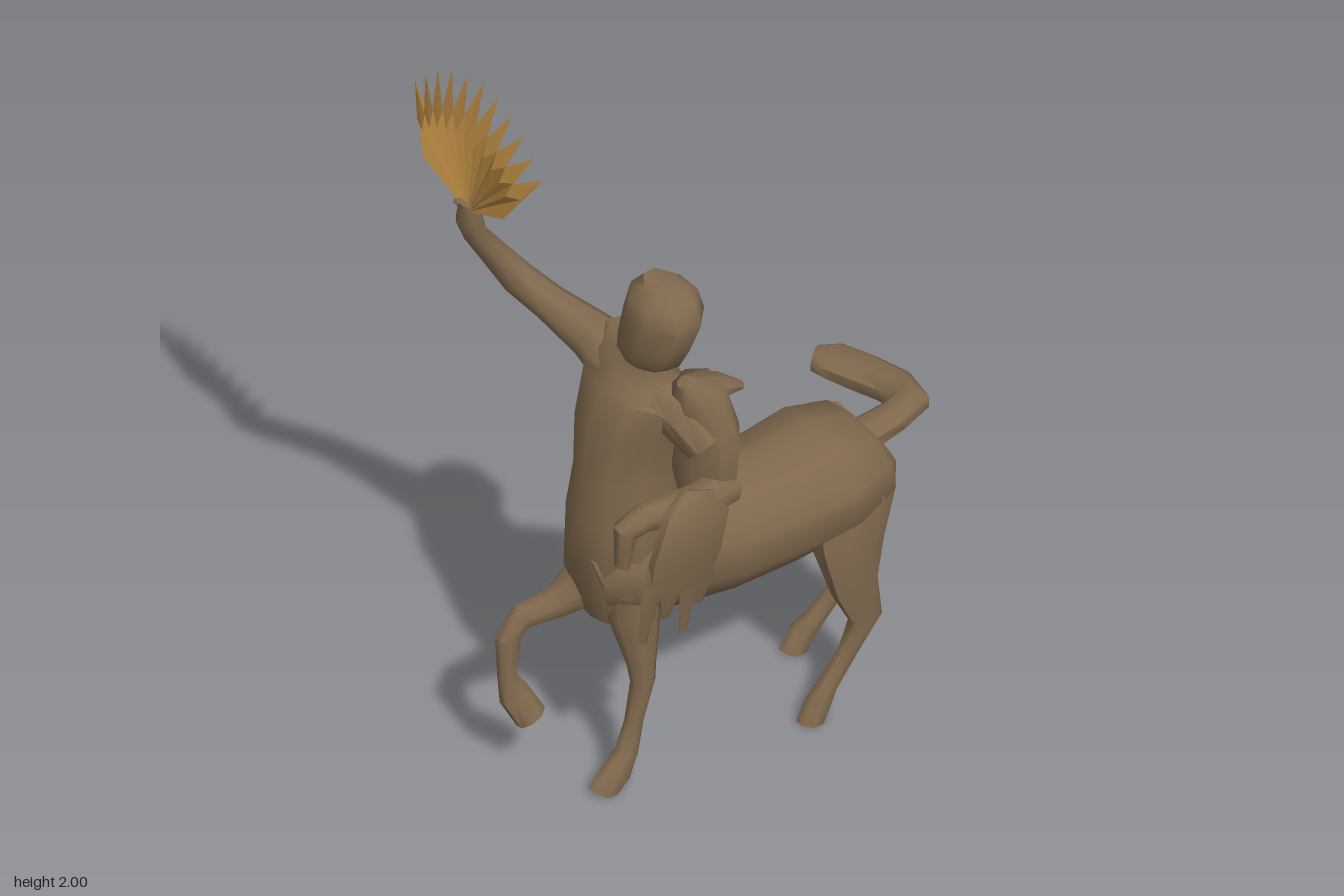
import * as THREE from 'three';
import { toCreasedNormals } from 'three/addons/utils/BufferGeometryUtils.js';

const X = new THREE.Vector3(1, 0, 0), Y = new THREE.Vector3(0, 1, 0), Z = new THREE.Vector3(0, 0, 1);

// Closed loft through rows of [x, y, z, a, b]; radius a runs along ref, b across it
function loft(rows, ref = X, n = 8) {
  const pts = rows.map(r => new THREE.Vector3(r[0], r[1], r[2]));
  const pos = [], idx = [], last = rows.length - 1;
  const put = p => pos.push(p.x, Math.max(0, p.y), p.z);
  rows.forEach(([, , , a, b = a], i) => {
    const t = pts[Math.min(i + 1, last)].clone().sub(pts[Math.max(i - 1, 0)]).normalize();
    const side = ref.clone().addScaledVector(t, -ref.dot(t)).normalize();
    const up = t.clone().cross(side);
    for (let j = 0; j < n; j++) {
      const w = (j + 0.5) / n * Math.PI * 2;
      put(pts[i].clone().addScaledVector(side, a * Math.cos(w)).addScaledVector(up, b * Math.sin(w)));
    }
  });
  for (let i = 0; i < last; i++) for (let j = 0; j < n; j++) {
    const k = (j + 1) % n, p = i * n, q = p + n;
    idx.push(p + j, p + k, q + k, p + j, q + k, q + j);
  }
  put(pts[0]);
  put(pts[last]);
  const c = rows.length * n;
  for (let j = 0; j < n; j++) {
    const k = (j + 1) % n;
    idx.push(c, k, j, c + 1, last * n + j, last * n + k);
  }
  const g = new THREE.BufferGeometry();
  g.setAttribute('position', new THREE.Float32BufferAttribute(pos, 3));
  g.setIndex(idx);
  return toCreasedNormals(g, 0.95);
}

// Feather fan: pointed pleats spread around the grip, bowed in depth
function fanGeometry() {
  const pos = [], count = 11, step = 0.165;
  const at = (ang, r, lift = 0) => [
    -0.23 + Math.sin(ang) * r, 1.6 + Math.cos(ang) * r,
    0.51 + 0.3 * r - 1.07 * r * r + lift];
  const tri = (...v) => v.forEach(p => pos.push(...p));
  for (let i = 0; i < count; i++) {
    const a = (i - (count - 1) / 2) * step, h = step / 2;
    const rTip = 0.4 - 0.04 * Math.abs(a), rSide = 0.3 - 0.03 * Math.abs(a);
    const base = at(a, 0.01), tip = at(a, rTip), mid = at(a, 0.24, 0.004);
    const l = at(a - h, rSide, -0.002), r = at(a + h, rSide, -0.002);
    tri(base, mid, l); tri(l, mid, tip);
    tri(base, r, mid); tri(r, tip, mid);
  }
  // Short outer edge on each side
  for (const s of [-1, 1]) {
    const grip = at(s, 0.02), corner = at(1.1 * s, 0.19), tip = at(5 * step * s, 0.37);
    if (s > 0) tri(grip, corner, tip); else tri(grip, tip, corner);
  }
  const g = new THREE.BufferGeometry();
  g.setAttribute('position', new THREE.Float32BufferAttribute(pos, 3));
  g.computeVertexNormals();
  return g;
}

export function createModel() {
  const model = new THREE.Group();
  model.name = 'centaurStatue';
  const bronze = new THREE.MeshStandardMaterial({ color: 0x7f684d });
  bronze.name = 'bronze brown';
  const gold = new THREE.MeshStandardMaterial({ color: 0xb38440, side: THREE.DoubleSide });
  gold.name = 'fan gold';
  const add = (name, geo, mat = bronze) => {
    const m = new THREE.Mesh(geo, mat);
    m.name = name;
    model.add(m);
  };

  // Horse body and human torso
  add('horseBody', loft([
    [0.23, 0.7, -0.44, 0.11, 0.08], [0.23, 0.68, -0.4, 0.165, 0.135],
    [0.23, 0.67, -0.27, 0.205, 0.17], [0.22, 0.645, -0.12, 0.19, 0.175],
    [0.21, 0.635, 0.05, 0.18, 0.175], [0.19, 0.645, 0.2, 0.165, 0.185],
    [0.17, 0.62, 0.33, 0.15, 0.16], [0.155, 0.6, 0.41, 0.09, 0.11]], X, 10));
  add('torso', loft([
    [0.155, 0.46, 0.36, 0.08, 0.05], [0.15, 0.58, 0.34, 0.145, 0.11],
    [0.16, 0.78, 0.3, 0.145, 0.16], [0.155, 0.92, 0.285, 0.13, 0.15],
    [0.155, 1.06, 0.28, 0.15, 0.14], [0.155, 1.17, 0.26, 0.18, 0.115],
    [0.165, 1.23, 0.245, 0.15, 0.085], [0.2, 1.27, 0.24, 0.065, 0.065],
    [0.21, 1.34, 0.235, 0.055, 0.055]], X, 10));
  add('head', loft([
    [0.2, 1.25, 0.265, 0.06, 0.05], [0.195, 1.29, 0.25, 0.1, 0.085],
    [0.21, 1.36, 0.235, 0.11, 0.095], [0.23, 1.43, 0.225, 0.112, 0.105],
    [0.225, 1.475, 0.225, 0.1, 0.09], [0.23, 1.505, 0.225, 0.07, 0.05]]));

  // Raised right arm and the fan in its hand
  add('raisedArm', loft([
    [0.12, 1.18, 0.26, 0.09, 0.08], [0.0, 1.23, 0.28, 0.07, 0.062],
    [-0.13, 1.275, 0.32, 0.052, 0.045], [-0.215, 1.325, 0.36, 0.045, 0.052],
    [-0.235, 1.42, 0.42, 0.038, 0.04], [-0.24, 1.51, 0.48, 0.032, 0.03],
    [-0.24, 1.57, 0.5, 0.035, 0.04], [-0.235, 1.63, 0.51, 0.02, 0.025]], Z));
  add('thumb', loft([[-0.24, 1.59, 0.5, 0.012], [-0.255, 1.635, 0.535, 0.006]], Z, 5));
  add('fan', fanGeometry(), gold);

  // Left shoulder, draped pelt and forearm
  add('leftShoulder', loft([
    [0.2, 1.17, 0.25, 0.09, 0.07], [0.3, 1.15, 0.23, 0.08, 0.075], [0.37, 1.07, 0.19, 0.07]], Z));
  add('drape', loft([
    [0.34, 1.27, 0.25, 0.015, 0.02], [0.325, 1.2, 0.195, 0.085, 0.075],
    [0.32, 1.07, 0.165, 0.12, 0.085], [0.33, 0.95, 0.175, 0.11, 0.075],
    [0.35, 0.86, 0.185, 0.075, 0.06]]));
  add('drapeCorner', loft([
    [0.335, 1.25, 0.22, 0.02, 0.02], [0.33, 1.2, 0.13, 0.05, 0.03], [0.34, 1.17, 0.06, 0.015, 0.012]]));
  add('leftForearm', loft([
    [0.39, 0.92, 0.15, 0.055, 0.06], [0.425, 0.94, 0.27, 0.05, 0.05],
    [0.405, 0.95, 0.42, 0.042], [0.39, 0.92, 0.475, 0.036],
    [0.385, 0.81, 0.485, 0.025, 0.018]]));
  add('hangingPelt', loft([
    [0.435, 0.99, 0.28, 0.03, 0.05], [0.46, 0.94, 0.3, 0.035, 0.11],
    [0.45, 0.8, 0.33, 0.03, 0.12], [0.435, 0.7, 0.34, 0.022, 0.1]]));
  for (const [z, y] of [[0.43, 0.55], [0.36, 0.6], [0.3, 0.53], [0.25, 0.6]])
    add('peltClaw', loft([
      [0.44, 0.8, z * 0.8 + 0.065, 0.02, 0.035], [0.43, 0.68, z, 0.016, 0.03],
      [0.41, y, z + 0.005, 0.008, 0.014]], X, 6));

  // Front legs
  add('raisedFrontLeg', loft([
    [0.11, 0.57, 0.32, 0.09, 0.09], [0.06, 0.475, 0.44, 0.045, 0.05],
    [0.04, 0.46, 0.545, 0.035, 0.038], [0.04, 0.41, 0.59, 0.03, 0.038],
    [0.05, 0.3, 0.6, 0.024, 0.027], [0.06, 0.24, 0.585, 0.032, 0.045],
    [0.085, 0.165, 0.55, 0.038, 0.045]]));
  add('standingFrontLeg', loft([
    [0.21, 0.62, 0.31, 0.095, 0.1], [0.24, 0.49, 0.33, 0.06, 0.075],
    [0.275, 0.36, 0.335, 0.035, 0.042], [0.28, 0.3, 0.335, 0.03, 0.035],
    [0.275, 0.18, 0.36, 0.022, 0.028], [0.275, 0.09, 0.385, 0.03, 0.035],
    [0.28, 0.04, 0.425, 0.036, 0.048], [0.28, -0.01, 0.46, 0.038, 0.055]]));

  // Hind legs
  add('leftHindLeg', loft([
    [0.3, 0.74, -0.31, 0.08, 0.11], [0.325, 0.63, -0.305, 0.085, 0.14],
    [0.355, 0.5, -0.28, 0.065, 0.105],
    [0.38, 0.38, -0.28, 0.04, 0.07], [0.385, 0.27, -0.31, 0.032, 0.05],
    [0.375, 0.18, -0.265, 0.023, 0.032], [0.37, 0.09, -0.2, 0.027, 0.03],
    [0.37, 0.04, -0.165, 0.034, 0.04], [0.37, -0.01, -0.145, 0.036, 0.045]]));
  add('rightHindLeg', loft([
    [0.16, 0.74, -0.33, 0.08, 0.1], [0.135, 0.63, -0.35, 0.09, 0.1],
    [0.12, 0.5, -0.37, 0.06, 0.075],
    [0.14, 0.39, -0.4, 0.042, 0.052], [0.15, 0.27, -0.465, 0.032, 0.042],
    [0.135, 0.18, -0.43, 0.023, 0.03], [0.115, 0.08, -0.355, 0.027, 0.03],
    [0.105, 0.04, -0.32, 0.034, 0.04], [0.105, -0.01, -0.295, 0.036, 0.048]]));

  // Tail swept sideways
  add('tail', loft([
    [0.25, 0.73, -0.4, 0.04, 0.06], [0.27, 0.765, -0.49, 0.038, 0.05],
    [0.25, 0.77, -0.56, 0.045, 0.055], [0.17, 0.765, -0.57, 0.045, 0.06],
    [0.07, 0.765, -0.54, 0.042, 0.065], [0.0, 0.775, -0.505, 0.038, 0.065],
    [-0.04, 0.775, -0.475, 0.03, 0.045]], Y));
  return model;
}
